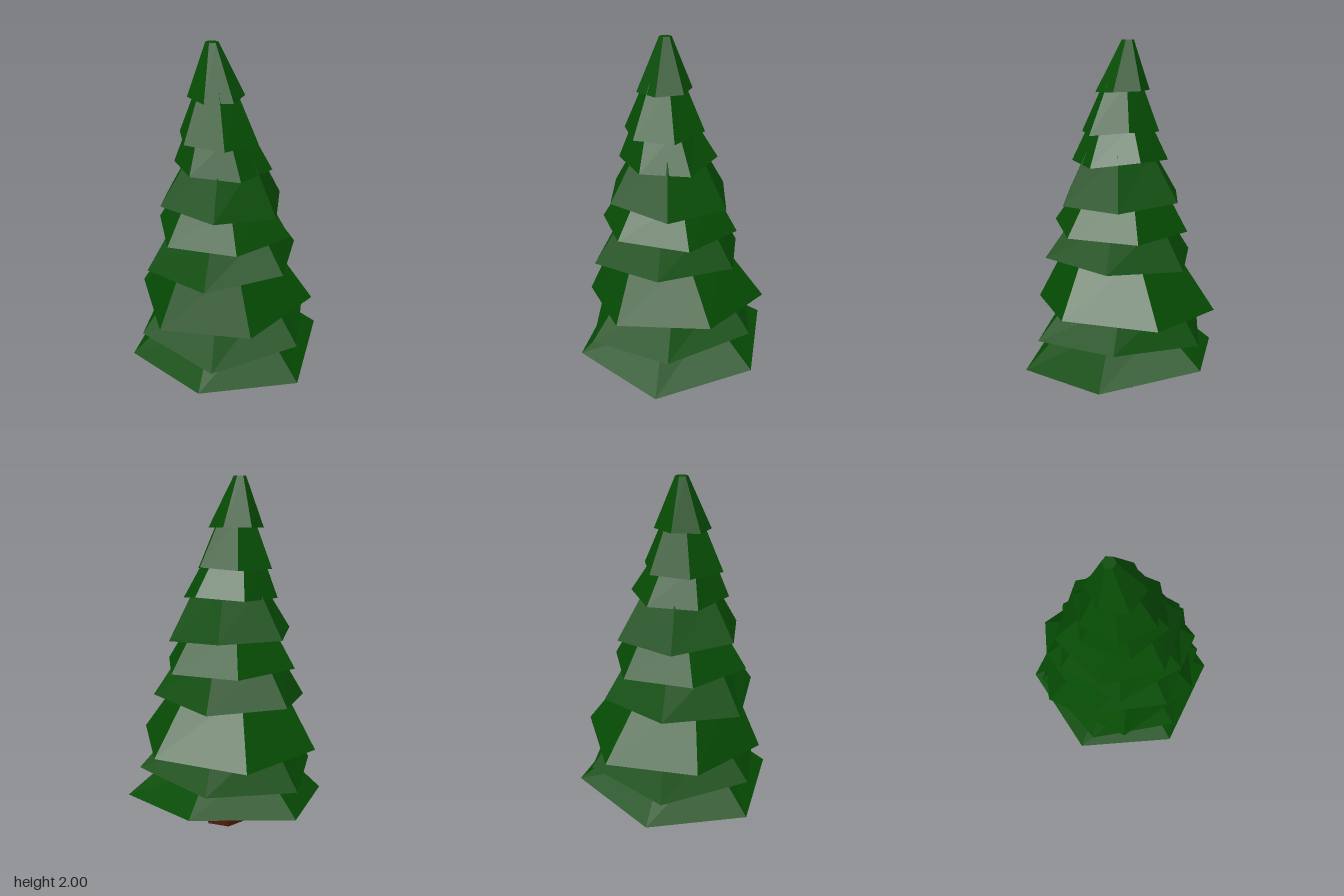
import * as THREE from 'three';

const SIDES = 6;
const { lerp, degToRad } = THREE.MathUtils;

// Ring of corners with one height each; turn is in degrees from +z towards +x
function ring(x, z, r, turn, heights) {
  return Array.from({ length: SIDES }, (_, i) => {
    const a = degToRad(turn + i * 360 / SIDES);
    return [x + Math.sin(a) * r, heights[i], z + Math.cos(a) * r];
  });
}
const level = (y) => Array(SIDES).fill(y);

// Skin a list of rings into flat facets, closing the first and last ring
function loft(rings) {
  const pos = [];
  const tri = (a, b, c) => pos.push(...a, ...b, ...c);
  for (let k = 0; k < rings.length - 1; k++) {
    const lo = rings[k], hi = rings[k + 1];
    for (let i = 0; i < SIDES; i++) {
      const j = (i + 1) % SIDES;
      tri(lo[i], lo[j], hi[j]);
      tri(lo[i], hi[j], hi[i]);
    }
  }
  const first = rings[0], last = rings[rings.length - 1];
  for (let i = 1; i < SIDES - 1; i++) {
    tri(first[0], first[i + 1], first[i]);
    tri(last[0], last[i], last[i + 1]);
  }
  const geo = new THREE.BufferGeometry();
  geo.setAttribute('position', new THREE.Float32BufferAttribute(pos, 3));
  geo.computeVertexNormals();
  return geo;
}

// Branch tiers: centre, radius, turn, uneven rim heights, and the top ring's height and radius
const TIERS = [
  { x: -0.01, z: 0, r: 0.582, turn: 0, rim: [0.135, 0.18, 0.225, 0.18, 0.145, 0.18], topY: 0.42, topR: 0.3 },
  { x: -0.015, z: -0.003, r: 0.525, turn: 7, rim: [0.33, 0.37, 0.335, 0.3, 0.325, 0.285], topY: 0.58, topR: 0.33 },
  { x: 0, z: -0.02, r: 0.525, turn: 31, rim: [0.525, 0.5, 0.475, 0.49, 0.46, 0.495], topY: 0.84, topR: 0.31 },
  { x: -0.04, z: 0, r: 0.45, turn: 3, rim: [0.8, 0.785, 0.755, 0.765, 0.735, 0.77], topY: 1.01, topR: 0.29 },
  { x: -0.035, z: 0, r: 0.398, turn: 26, rim: [0.945, 0.935, 0.94, 0.95, 0.95, 0.965], topY: 1.17, topR: 0.26 },
  { x: -0.035, z: -0.01, r: 0.367, turn: 9, rim: [1.1, 1.1, 1.125, 1.125, 1.14, 1.135], topY: 1.39, topR: 0.21 },
  { x: -0.037, z: 0, r: 0.275, turn: 36, rim: [1.32, 1.355, 1.34, 1.335, 1.345, 1.33], topY: 1.55, topR: 0.17 },
  { x: -0.06, z: -0.01, r: 0.23, turn: 24, rim: [1.485, 1.51, 1.5, 1.5, 1.5, 1.49], topY: 1.77, topR: 0.11 },
  { x: -0.06, z: -0.025, r: 0.155, turn: -8, rim: [1.715, 1.72, 1.725, 1.725, 1.72, 1.715], topY: 2, topR: 0.034 },
];
const TIP = { x: -0.06, z: -0.055 };

export function createModel() {
  const tree = new THREE.Group();
  tree.name = 'pineTree';
  const leafMat = new THREE.MeshStandardMaterial({ color: 0x064c04, flatShading: true });
  const barkMat = new THREE.MeshStandardMaterial({ color: 0x4a1705, flatShading: true });

  // Trunk: tapered, bending slightly as it rises
  const trunk = new THREE.Mesh(loft([
    ring(0.015, -0.015, 0.125, 30, level(0)),
    ring(0.01, -0.012, 0.112, 30, level(0.22)),
    ring(-0.015, 0.01, 0.1, 30, level(0.5)),
  ]), barkMat);
  trunk.name = 'trunk';
  tree.add(trunk);

  // Stacked skirts of branches, each deeply hollow underneath behind a narrow lip
  const branches = new THREE.Group();
  branches.name = 'branches';
  TIERS.forEach(({ x, z, r, turn, rim, topY, topR }, i) => {
    const above = TIERS[i + 1] ?? TIP;
    const hollow = rim.map((y) => lerp(y, topY, 0.93));
    const tier = new THREE.Mesh(loft([
      ring(above.x, above.z, topR * 0.8, turn, hollow),
      ring(x, z, r * 0.93, turn, rim),
      ring(x, z, r, turn, rim),
      ring(above.x, above.z, topR, turn, level(topY)),
    ]), leafMat);
    tier.name = `branchTier${i + 1}`;
    branches.add(tier);
  });
  tree.add(branches);
  return tree;
}
